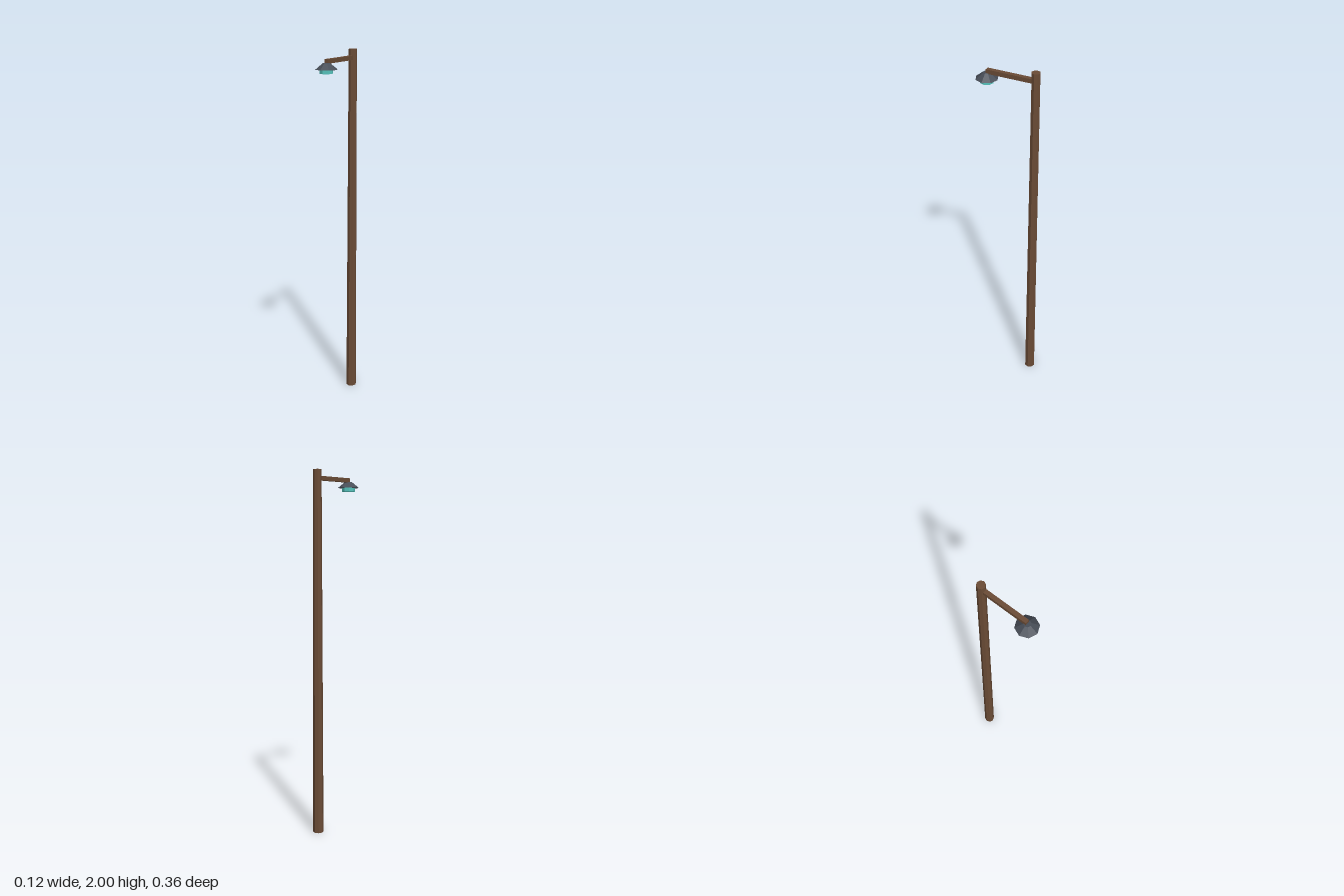
import * as THREE from 'three';

export function createModel() {
  const group = new THREE.Group();
  const material = (name, color) => {
    const m = new THREE.MeshStandardMaterial({ color, flatShading: true });
    m.name = name;
    return m;
  };
  const wood = material('brown wood', 0x6b4c36);
  const metal = material('dark grey metal', 0x474d57);
  const glow = material('teal glass', 0x56c4bd);

  const add = (name, geometry, mat, y, z) => {
    const mesh = new THREE.Mesh(geometry, mat);
    mesh.name = name;
    mesh.position.set(0, y, z);
    group.add(mesh);
  };
  // Eight-sided tapered section between two heights
  const octagon = (name, rTop, rBottom, y0, y1, z, mat) =>
    add(name, new THREE.CylinderGeometry(rTop, rBottom, y1 - y0, 8), mat, (y0 + y1) / 2, z);

  const poleZ = -0.149, lampZ = 0.118;

  // Tapered post and the arm that reaches forward from it
  octagon('post', 0.023, 0.0295, 0, 2, poleZ, wood);
  add('arm', new THREE.BoxGeometry(0.023, 0.023, lampZ - poleZ), wood, 1.954, (lampZ + poleZ) / 2);

  // Lamp hanging under the end of the arm
  octagon('lampShade', 0.019, 0.0595, 1.913, 1.946, lampZ, metal);
  octagon('lampGlass', 0.036, 0.036, 1.892, 1.915, lampZ, glow);

  return group;
}
